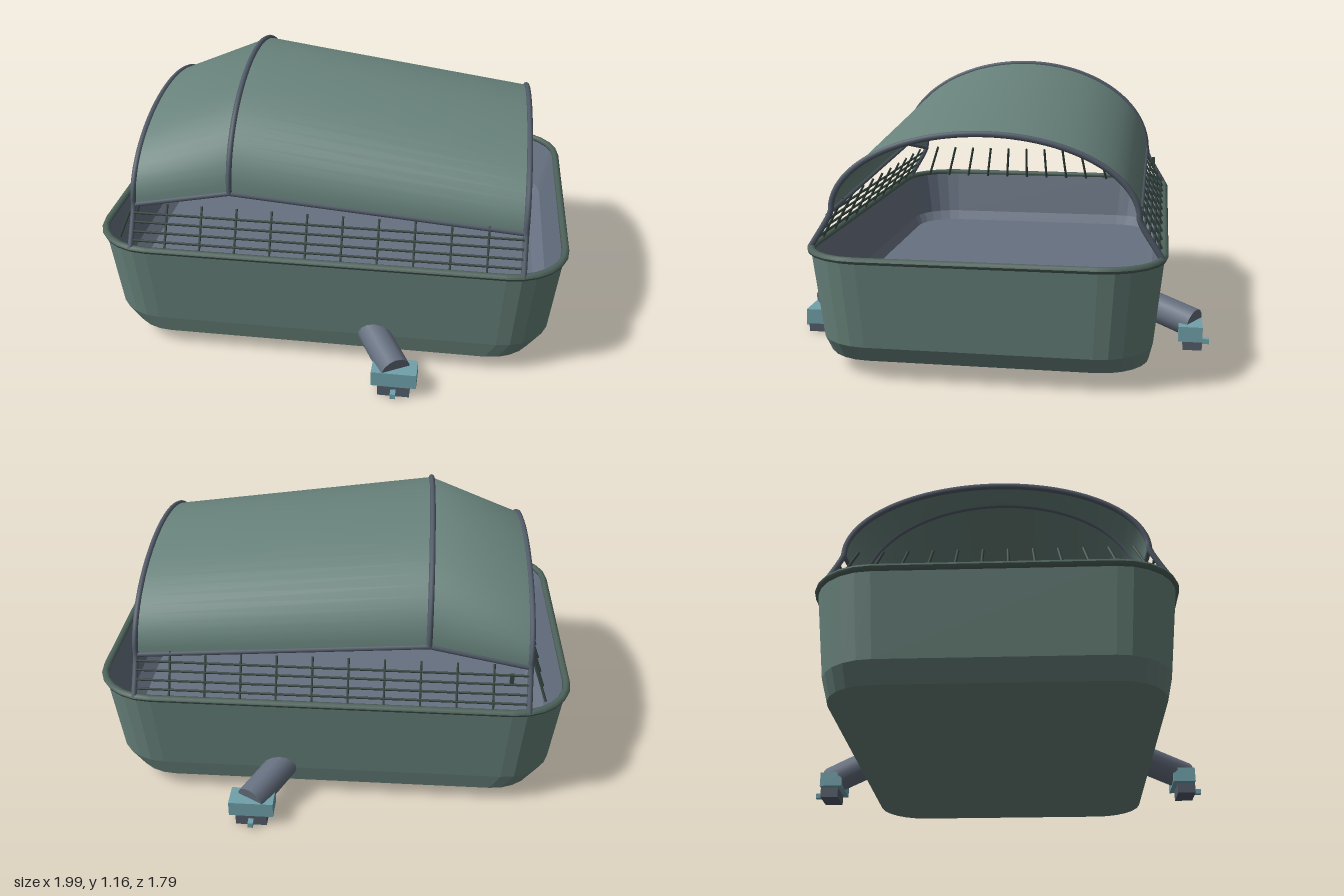
import * as THREE from 'three';

const mat = (name, color, side = THREE.FrontSide) => {
  const m = new THREE.MeshStandardMaterial({ color, side });
  m.name = name;
  return m;
};
const V = (x, y, z) => new THREE.Vector3(x, y, z);

// Rounded rectangle loop at height y
function loop([hx, hz, r, y], seg = 6) {
  const pts = [];
  [[1, 1], [-1, 1], [-1, -1], [1, -1]].forEach(([sx, sz], q) => {
    for (let i = 0; i <= seg; i++) {
      const a = (q + i / seg) * Math.PI / 2;
      pts.push(V(sx * (hx - r) + r * Math.cos(a), y, sz * (hz - r) + r * Math.sin(a)));
    }
  });
  return pts;
}

// Skin between successive rows of points
function skin(rows, closed, flat) {
  const n = rows[0].length, pos = [], idx = [];
  rows.forEach(row => row.forEach(p => pos.push(p.x, p.y, p.z)));
  for (let j = 0; j < rows.length - 1; j++) {
    for (let i = 0; i < (closed ? n : n - 1); i++) {
      const a = j * n + i, b = j * n + (i + 1) % n;
      idx.push(a, a + n, b, b, a + n, b + n);
    }
  }
  let g = new THREE.BufferGeometry();
  g.setAttribute('position', new THREE.Float32BufferAttribute(pos, 3));
  g.setIndex(idx);
  if (flat) g = g.toNonIndexed();
  g.computeVertexNormals();
  return g;
}

export function createModel() {
  const root = new THREE.Group();
  const green = mat('shell green', 0x68827b);
  const cover = mat('canopy green', 0x68827b, THREE.DoubleSide);
  const rimGreen = mat('rim green', 0x4c6159);
  const barGreen = mat('bar dark green', 0x34443e);
  const slate = mat('slate', 0x667080);
  const frame = mat('frame slate', 0x525c69);
  const teal = mat('teal', 0x70a0aa);

  const add = (name, geo, m, parent = root) => {
    const mesh = new THREE.Mesh(geo, m);
    mesh.name = name;
    parent.add(mesh);
    return mesh;
  };
  const box = (name, size, at, m, parent) =>
    add(name, new THREE.BoxGeometry(...size), m, parent).position.set(...at);
  const rod = (name, a, b, r, m, sides = 6, parent = root) => {
    const mesh = add(name, new THREE.CylinderGeometry(r, r, a.distanceTo(b), sides), m, parent);
    mesh.position.copy(a).lerp(b, 0.5);
    mesh.quaternion.setFromUnitVectors(V(0, 1, 0), b.clone().sub(a).normalize());
  };

  // Tub: outer shell, inner lining with floor, rolled rim
  add('tubShell', skin([
    [0, 0, 0, 0.07], [0.88, 0.645, 0.2, 0.07], [0.94, 0.66, 0.22, 0.145], [0.98, 0.697, 0.24, 0.5],
  ].map(p => loop(p)), true, true), green);
  add('tubLining', skin([
    [0.97, 0.688, 0.23, 0.5], [0.92, 0.645, 0.2, 0.29], [0.87, 0.62, 0.18, 0.25], [0, 0, 0, 0.25],
  ].map(p => loop(p)), true, true), slate);
  const rimRows = [];
  for (let k = 0; k <= 8; k++) {
    const t = k / 8 * Math.PI * 2, o = 0.016 * Math.cos(t);
    rimRows.push(loop([0.98 + o, 0.694 + o, 0.24 + o, 0.5 + 0.014 * Math.sin(t)]));
  }
  add('rim', skin(rimRows, true, false), rimGreen);

  // Canopy: half-ellipse arches at three stations [x, edge height, rise]
  const stations = [[-0.805, 0.66, 0.31], [-0.395, 0.742, 0.41], [0.805, 0.65, 0.315]];
  const arch = ([x, y, h]) => Array.from({ length: 33 }, (_, i) => {
    const a = i / 32 * Math.PI;
    return V(x, y + h * Math.sin(a), 0.6 * Math.cos(a));
  });
  add('canopy', skin(stations.map(arch), false, false), cover);

  // Hoops; the end ones have legs that spread down to the rim
  stations.forEach((s, i) => {
    const pts = arch(s);
    if (i !== 1) {
      pts.unshift(V(s[0], 0.5, 0.69));
      pts.push(V(s[0], 0.5, -0.69));
    }
    add('hoop', new THREE.TubeGeometry(new THREE.CatmullRomCurve3(pts, false, 'centripetal'), 80, 0.012, 8), frame);
  });

  for (const s of [1, -1]) {
    // Canopy edge rails
    for (let i = 0; i < 2; i++) {
      const [a, b] = [stations[i], stations[i + 1]];
      rod('edgeRail', V(a[0], a[1], s * 0.6), V(b[0], b[1], s * 0.6), 0.01, frame);
    }
    // Sloping side lattice
    const lean = y => s * (0.69 - (y - 0.5) * 0.53);
    for (const y of [0.532, 0.565, 0.6, 0.633]) {
      rod('latticeRail', V(-0.8, y, lean(y)), V(0.8, y, lean(y)), 0.005, barGreen);
    }
    for (let i = 0; i < 10; i++) {
      const x = -0.66 + i * 0.1467;
      rod('latticePost', V(x, 0.5, lean(0.5)), V(x, 0.672, lean(0.672)), 0.005, barGreen);
    }

    // Angled outlet pipe with end block, foot and nub
    const outlet = new THREE.Group();
    outlet.name = 'outlet';
    root.add(outlet);
    rod('pipe', V(0.32, 0.1, s * 0.83), V(0.19, 0.15, s * 0.61), 0.064, slate, 14, outlet);
    box('endBlock', [0.185, 0.065, 0.1], [0.315, 0.078, s * 0.815], teal, outlet);
    box('foot', [0.13, 0.045, 0.08], [0.315, 0.0225, s * 0.825], frame, outlet);
    box('nub', [0.022, 0.022, 0.045], [0.315, 0.022, s * 0.875], teal, outlet);
  }

  // End guard: row of bars leaning inward and toward the middle
  for (let i = 0; i < 12; i++) {
    const k = (i - 5.5) / 5.5;
    rod('guardBar', V(-0.88, 0.5, k * 0.6), V(-0.82, 0.662, k * 0.538), 0.006, barGreen);
  }

  // Small latch on the lattice and fitting on the floor
  box('latch', [0.016, 0.04, 0.016], [-0.73, 0.628, -0.635], barGreen);
  box('floorPad', [0.13, 0.02, 0.08], [0.25, 0.26, -0.5], slate);
  const wedge = add('floorWedge', new THREE.CylinderGeometry(0.03, 0.03, 0.05, 3), slate);
  wedge.rotation.x = -Math.PI / 2;
  wedge.position.set(0.22, 0.28, -0.51);

  return root;
}
